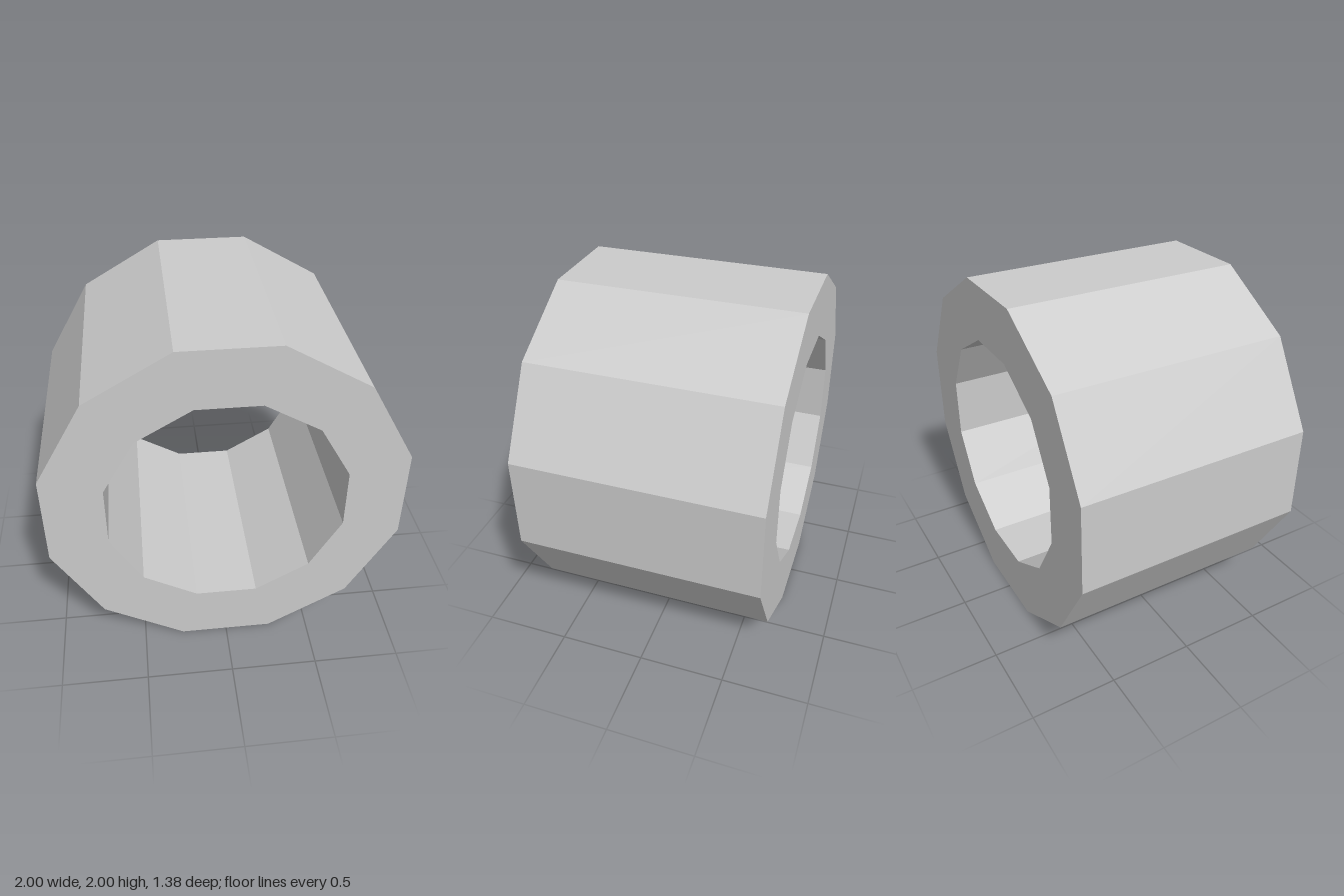
import * as THREE from 'three';

const SIDES = 12;
const OUTER = 1; // centre to the middle of an outer flat
const INNER = 0.665; // centre to the middle of an inner flat
const DEPTH = 1.38;

// Corners of a regular polygon standing on a flat, given its centre-to-flat distance
function polygon(apothem) {
  const radius = apothem / Math.cos(Math.PI / SIDES);
  return Array.from({ length: SIDES }, (_, i) => {
    const a = ((i + 0.5) / SIDES) * Math.PI * 2;
    return new THREE.Vector2(radius * Math.cos(a), radius * Math.sin(a));
  });
}

export function createModel() {
  const group = new THREE.Group();
  group.name = 'twelveSidedTube';

  // Ring-shaped section with a hole, extruded from back to front
  const section = new THREE.Shape(polygon(OUTER));
  section.holes.push(new THREE.Path(polygon(INNER)));
  const geometry = new THREE.ExtrudeGeometry(section, { depth: DEPTH, bevelEnabled: false });
  geometry.translate(0, OUTER, -DEPTH / 2);

  const material = new THREE.MeshStandardMaterial({ color: 0xcccccc, flatShading: true });
  const ring = new THREE.Mesh(geometry, material);
  ring.name = 'ring';
  group.add(ring);
  return group;
}
